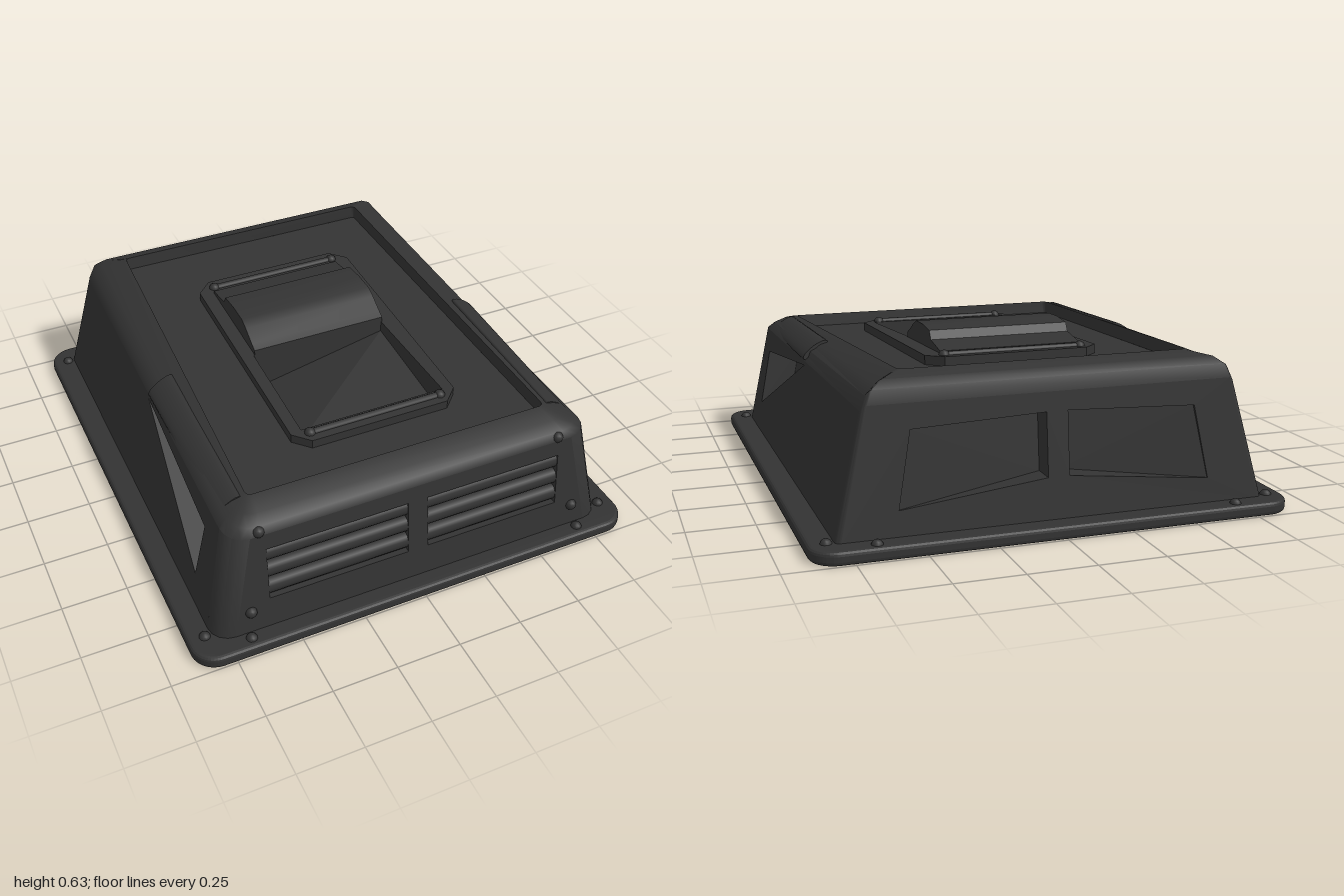
import * as THREE from 'three';
import { toCreasedNormals } from 'three/addons/utils/BufferGeometryUtils.js';

const lerp = THREE.MathUtils.lerp;
const V2 = (p) => new THREE.Vector2(p[0], p[1]);

export function createModel() {
  const model = new THREE.Group();
  const charcoal = new THREE.MeshStandardMaterial({ color: 0x333333, side: THREE.DoubleSide });
  charcoal.name = 'charcoal';

  function add(name, geometry, x = 0, y = 0, z = 0) {
    const mesh = new THREE.Mesh(geometry, charcoal);
    mesh.name = name;
    mesh.position.set(x, y, z);
    model.add(mesh);
    return mesh;
  }
  function fromTriangles(points) {
    const g = new THREE.BufferGeometry();
    g.setAttribute('position', new THREE.Float32BufferAttribute(points.flat(), 3));
    g.computeVertexNormals();
    return g;
  }

  // A flat panel with holes, placed by map(u, v, depth); each hole gets a sunken pocket
  function panel(name, outline, holes, map) {
    const shape = new THREE.Shape(outline.map(V2));
    holes.forEach((h) => shape.holes.push(new THREE.Path(h.pts.map(V2))));
    const g = new THREE.ShapeGeometry(shape);
    const pos = g.attributes.position;
    for (let i = 0; i < pos.count; i++) pos.setXYZ(i, ...map(pos.getX(i), pos.getY(i), 0));
    g.computeVertexNormals();
    add(name, g);
    holes.forEach(({ pts, depths }) => {
      const tris = [];
      const outer = pts.map((p) => map(p[0], p[1], 0));
      const inner = pts.map((p, i) => map(p[0], p[1], depths[i]));
      pts.forEach((_, i) => {
        const j = (i + 1) % pts.length;
        tris.push(outer[i], outer[j], inner[j], outer[i], inner[j], inner[i]);
        if (i > 1) tris.push(inner[0], inner[i - 1], inner[i]);
      });
      add(name + 'Pocket', fromTriangles(tris));
    });
  }

  function roundedRect(w, d, r) {
    const s = new THREE.Shape();
    const x = w / 2, y = d / 2;
    s.absarc(x - r, y - r, r, 0, Math.PI / 2);
    s.absarc(-x + r, y - r, r, Math.PI / 2, Math.PI);
    s.absarc(-x + r, -y + r, r, Math.PI, Math.PI * 1.5);
    s.absarc(x - r, -y + r, r, Math.PI * 1.5, Math.PI * 2);
    return s;
  }

  // Base flange
  const flange = new THREE.ExtrudeGeometry(roundedRect(1.76, 1.97, 0.08), {
    depth: 0.02, bevelThickness: 0.015, bevelSize: 0.015, bevelSegments: 3, curveSegments: 6,
  });
  flange.rotateX(-Math.PI / 2).translate(0, 0.015, 0);
  add('baseFlange', flange);

  // Housing cross-sections: half widths, ends, heights, corner radii; pairs are [front, back]
  const sections = [
    { hx: [0.81, 0.805], z: [0.93, -0.92], side: [0.04, 0.04], end: [0.04, 0.04], r: [0.08, 0.02] },
    { hx: [0.725, 0.695], z: [0.885, -0.87], side: [0.47, 0.48], end: [0.46, 0.5], r: [0.08, 0.02] },
    { hx: [0.695, 0.675], z: [0.87, -0.86], side: [0.495, 0.53], end: [0.49, 0.55], r: [0.08, 0.02] },
    { hx: [0.655, 0.635], z: [0.83, -0.835], side: [0.515, 0.56], end: [0.515, 0.578], r: [0.06, 0.02] },
    { hx: [0.6, 0.545], z: [0.75, -0.775], side: [0.53, 0.596], end: [0.53, 0.596], r: [0.02, 0.02] },
    { hx: [0.597, 0.542], z: [0.745, -0.77], side: [0.478, 0.543], end: [0.478, 0.543], r: [0.01, 0.01] },
  ];
  const N = 5;
  function ring(s) {
    const pts = [];
    for (let c = 0; c < 4; c++) {
      const f = c < 2 ? 0 : 1, sx = c === 0 || c === 3 ? 1 : -1, sz = f ? -1 : 1;
      for (let i = 0; i < N; i++) {
        const t = (c + i / (N - 1)) * Math.PI / 2;
        pts.push([
          sx * (s.hx[f] - s.r[f]) + s.r[f] * Math.cos(t),
          lerp(s.side[f], s.end[f], Math.sin(t) ** 2),
          s.z[f] - sz * s.r[f] + s.r[f] * Math.sin(t),
        ]);
      }
    }
    return pts;
  }
  const rings = sections.map(ring);
  const shell = [];
  for (let k = 0; k < rings.length - 1; k++) {
    for (let i = 0; i < 4 * N; i++) {
      if (k === 0 && i % N === N - 1) continue; // straight walls are separate panels
      const j = (i + 1) % (4 * N), a = rings[k], b = rings[k + 1];
      shell.push(a[i], b[i], b[j], a[i], b[j], a[j]);
    }
  }
  add('housingShell', toCreasedNormals(fromTriangles(shell), 0.7));

  // Front wall with two louvre openings, back wall with two wedge pockets
  const frontZ = (y) => lerp(0.93, 0.885, (y - 0.04) / 0.42);
  const rect = (x0, x1, y0, y1) => [[x0, y0], [x1, y0], [x1, y1], [x0, y1]];
  panel('frontWall', [[-0.73, 0.04], [0.73, 0.04], [0.645, 0.46], [-0.645, 0.46]],
    [-1, 1].map((s) => ({ pts: rect(s * 0.04, s * 0.59, 0.175, 0.395), depths: [0.04, 0.04, 0.04, 0.04] })),
    (x, y, d) => [x, y, frontZ(y) - d]);
  panel('backWall', [[-0.785, 0.04], [0.785, 0.04], [0.675, 0.5], [-0.675, 0.5]],
    [-1, 1].map((s) => ({
      pts: [[s * 0.04, 0.2], [s * 0.58, 0.14], [s * 0.53, 0.41], [s * 0.04, 0.43]],
      depths: [0.09, 0.005, 0.01, 0.09],
    })),
    (x, y, d) => [x, y, lerp(-0.92, -0.87, (y - 0.04) / 0.46) + d]);

  for (const s of [-1, 1]) {
    // Side wall, leaning in more at the back, with a wedge intake deepening towards the front
    panel('sideWall', [[-0.9, 0.04], [0.85, 0.04], [0.805, 0.47], [-0.85, 0.48]],
      [{ pts: [[0.01, 0.46], [0.68, 0.16], [0.69, 0.385]], depths: [0.005, 0.13, 0.13] }],
      (z, y, d) => {
        const t = (z + 0.85) / 1.655;
        return [s * (lerp(0.805, 0.81, t) - lerp(0.25, 0.198, t) * (y - 0.04) - d), y, z];
      });

    // Shoulder fairing above the intake
    const fairing = new THREE.CylinderGeometry(0.055, 0.06, 0.72, 16);
    fairing.scale(1, 1, 0.3).rotateX(Math.PI / 2);
    const shoulder = add('shoulderFairing', fairing, s * 0.665, 0.505, 0.38);
    shoulder.rotation.set(0.03, 0, -s * 0.6);

    // Louvre slats
    for (const y of [0.36, 0.285, 0.21]) {
      const slat = new THREE.CylinderGeometry(0.034, 0.034, 0.55, 14);
      slat.rotateZ(Math.PI / 2).scale(1, 1, 0.8);
      add('louvreSlat', slat, s * 0.315, y, frontZ(y) - 0.029);
    }
  }

  // Recessed roof floor with a faceted intake
  const floorY = (z) => 0.478 + (0.745 - z) * 0.0429;
  const intake = [[-0.285, 0.5], [-0.28, 0.03], [0.28, 0.03], [0.305, 0.5]];
  panel('roofFloor', [[-0.597, 0.745], [0.597, 0.745], [0.542, -0.77], [-0.542, -0.77]],
    [{ pts: intake, depths: [0.02, 0.13, 0.01, 0.07] }],
    (x, z, d) => [x, floorY(z) - d, z]);

  // Hatch frame with chamfered corners, leaning with the roof
  const hatch = new THREE.Shape([[-0.27, -0.5], [0.29, -0.5], [0.35, -0.44], [0.35, 0.51],
    [0.29, 0.57], [-0.27, 0.57], [-0.33, 0.51], [-0.33, -0.44]].map(V2));
  hatch.holes.push(new THREE.Path(intake.map(V2)));
  const frame = new THREE.ExtrudeGeometry(hatch, { depth: 0.035, bevelEnabled: false });
  const fp = frame.attributes.position;
  for (let i = 0; i < fp.count; i++) {
    const z = fp.getY(i);
    fp.setXYZ(i, fp.getX(i), floorY(z) + fp.getZ(i), z);
  }
  frame.computeVertexNormals();
  add('hatchFrame', frame);

  // Raised scoop hood, profile in z and y
  const hood = new THREE.ExtrudeGeometry(new THREE.Shape(
    [[-0.42, 0.54], [-0.42, 0.572], [-0.3, 0.592], [-0.28, 0.625], [-0.19, 0.634], [-0.1, 0.632],
      [-0.06, 0.615], [0, 0.58], [0.03, 0.565], [0.03, 0.5]].map(V2)),
  { depth: 0.56, bevelEnabled: false });
  hood.rotateY(-Math.PI / 2).translate(0.285, 0, 0);
  add('scoopHood', toCreasedNormals(hood, 0.6));

  // Hatch end bars
  for (const z of [-0.455, 0.525]) {
    const bar = new THREE.CylinderGeometry(0.014, 0.014, 0.52, 10);
    bar.rotateZ(Math.PI / 2);
    add('hatchBar', bar, 0.01, floorY(z) + 0.034, z);
  }

  // Domed bolts
  const bolt = new THREE.SphereGeometry(0.022, 12, 8);
  for (const s of [-1, 1]) {
    for (const [x, z] of [[0.83, -0.9], [0.67, -0.96], [0.83, 0.88], [0.68, 0.955]]) {
      add('flangeBolt', bolt, s * x, 0.046, z);
    }
    for (const z of [-0.455, 0.525]) add('hatchBolt', bolt, 0.01 + s * 0.27, floorY(z) + 0.032, z);
    add('frontBolt', bolt, s * 0.665, 0.14, frontZ(0.14));
    add('frontBolt', bolt, s * 0.6 - 0.01, 0.47, 0.872);
  }
  return model;
}
